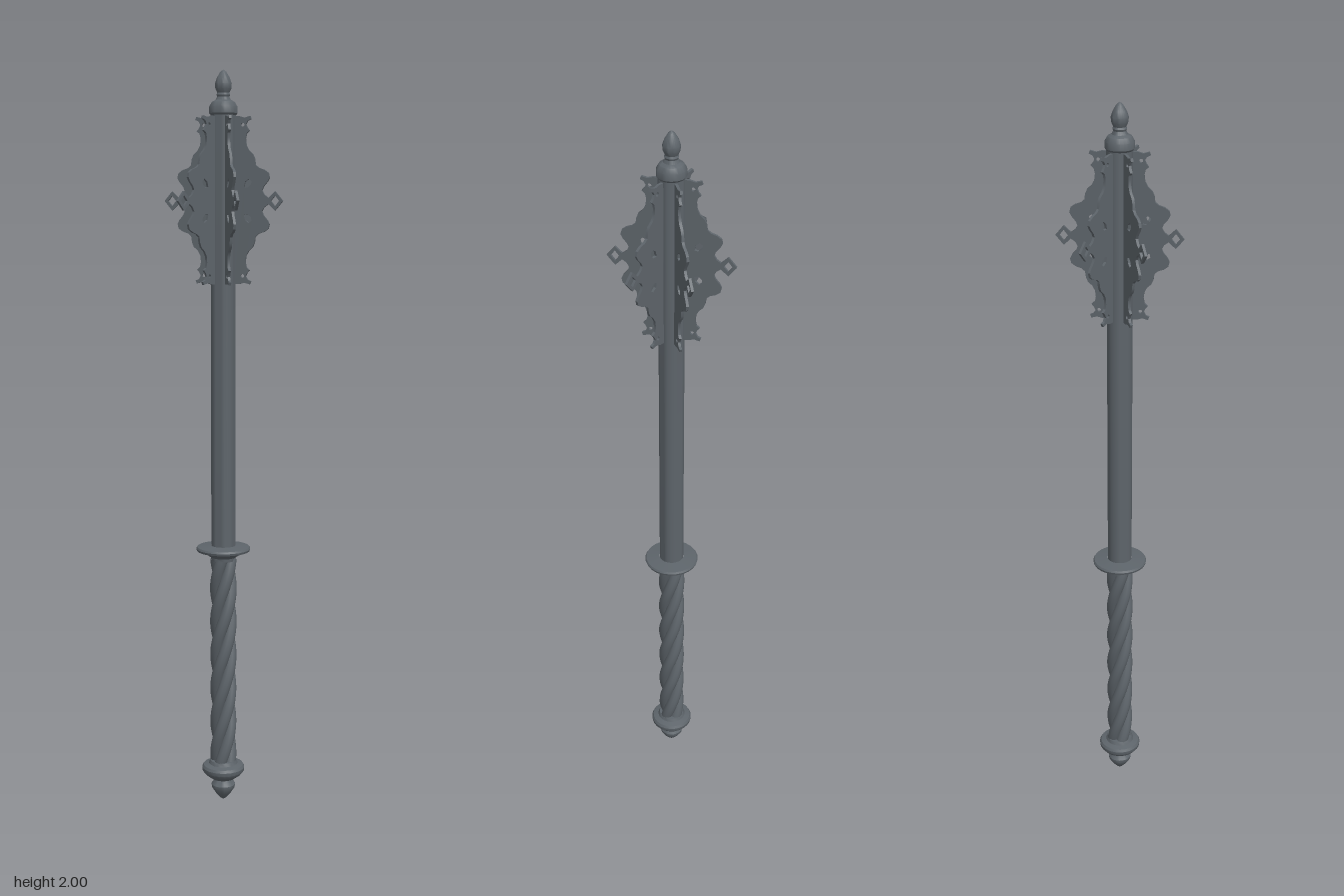
import * as THREE from 'three';
import { toCreasedNormals } from 'three/addons/utils/BufferGeometryUtils.js';

export function createModel() {
  const model = new THREE.Group();
  model.name = 'flangedMace';
  const steel = new THREE.MeshStandardMaterial({ color: 0x5d646a });
  steel.name = 'darkSteel';

  const add = (name, geometry, parent = model) => {
    const mesh = new THREE.Mesh(geometry, steel);
    mesh.name = name;
    parent.add(mesh);
    return mesh;
  };
  // Turned part from [radius, height] pairs, bottom to top
  const turned = (name, points) => add(name, toCreasedNormals(
    new THREE.LatheGeometry(points.map(([r, y]) => new THREE.Vector2(r, y)), 24), 0.6));

  turned('pommel', [
    [0, 0.005], [0.008, 0.01], [0.022, 0.026], [0.032, 0.042], [0.033, 0.051], [0.027, 0.06],
    [0.024, 0.066], [0.034, 0.07], [0.05, 0.082], [0.058, 0.092], [0.059, 0.102],
    [0.055, 0.109], [0.04, 0.113], [0.036, 0.122], [0, 0.122],
  ]);
  turned('guard', [
    [0, 0.695], [0.033, 0.695], [0.034, 0.704], [0.043, 0.71], [0.055, 0.717],
    [0.072, 0.722], [0.074, 0.728], [0.071, 0.733], [0.034, 0.737],
  ]);
  turned('shaft', [[0.033, 0.73], [0.033, 1.888]]);
  turned('finial', [
    [0.033, 1.884], [0.037, 1.889], [0.037, 1.906], [0.03, 1.918], [0.02, 1.923], [0.016, 1.931],
    [0.018, 1.936], [0.016, 1.941], [0.021, 1.952], [0.022, 1.964], [0.017, 1.979],
    [0.008, 1.994], [0, 2.0],
  ]);

  // Grip: four strands twisted like a rope
  const grip = new THREE.Group();
  grip.name = 'twistedGrip';
  model.add(grip);
  const bottom = 0.115, top = 0.7, pitch = 0.38;
  for (let s = 0; s < 4; s++) {
    const points = [];
    for (let i = 0; i <= 40; i++) {
      const h = (top - bottom) * i / 40;
      const a = h / pitch * Math.PI * 2 + s * Math.PI / 2;
      points.push(new THREE.Vector3(Math.sin(a) * 0.02, bottom + h, Math.cos(a) * 0.02));
    }
    add('gripStrand', new THREE.TubeGeometry(new THREE.CatmullRomCurve3(points), 80, 0.0165, 12), grip);
  }

  // Flange outline: upper half from the tip inwards, mirrored for the lower half
  const half = [
    [0.141, 0.025], [0.123, 0.008], [0.112, 0.016], [0.106, 0.027], [0.11, 0.037], [0.121, 0.05],
    [0.126, 0.06], [0.123, 0.072], [0.112, 0.08], [0.097, 0.085], [0.088, 0.093], [0.086, 0.108],
    [0.081, 0.12], [0.07, 0.13], [0.063, 0.143], [0.061, 0.16], [0.064, 0.173], [0.072, 0.18],
    [0.066, 0.187], [0.062, 0.196], [0.067, 0.205], [0.076, 0.209], [0.073, 0.217],
    [0.058, 0.213], [0.044, 0.217], [0.03, 0.217],
  ];
  const mirrored = half.map(([r, y]) => [r, -y]).reverse();
  const vectors = (list) => list.map(([x, y]) => new THREE.Vector2(x, y));
  const outline = new THREE.Shape(vectors([[0.162, 0], ...half, ...mirrored]));

  // Pierced openings: diamond in the tip, round and teardrop holes in the plate
  outline.holes.push(new THREE.Path(vectors([[0.152, 0], [0.141, -0.014], [0.13, 0], [0.141, 0.014]])));
  for (const side of [-1, 1]) {
    const drop = [[0.057, 0.036], [0.067, 0.034], [0.076, 0.042], [0.078, 0.051], [0.07, 0.057], [0.06, 0.049]];
    outline.holes.push(new THREE.Path(vectors(drop.map(([r, y]) => [r, y * side]))));
    const small = new THREE.Path();
    small.absarc(0.053, side * 0.195, 0.005, 0, Math.PI * 2, true);
    outline.holes.push(small);
  }
  const thickness = 0.007;
  const plate = toCreasedNormals(new THREE.ExtrudeGeometry(outline,
    { depth: thickness, bevelEnabled: false, curveSegments: 8 }).translate(0, 0, -thickness / 2), 0.6);

  // Six flanges around the head
  const head = new THREE.Group();
  head.name = 'flangedHead';
  head.position.y = 1.664;
  model.add(head);
  for (let i = 0; i < 6; i++) {
    add('flange', plate, head).rotation.y = THREE.MathUtils.degToRad(7.6 + i * 60);
  }
  return model;
}
